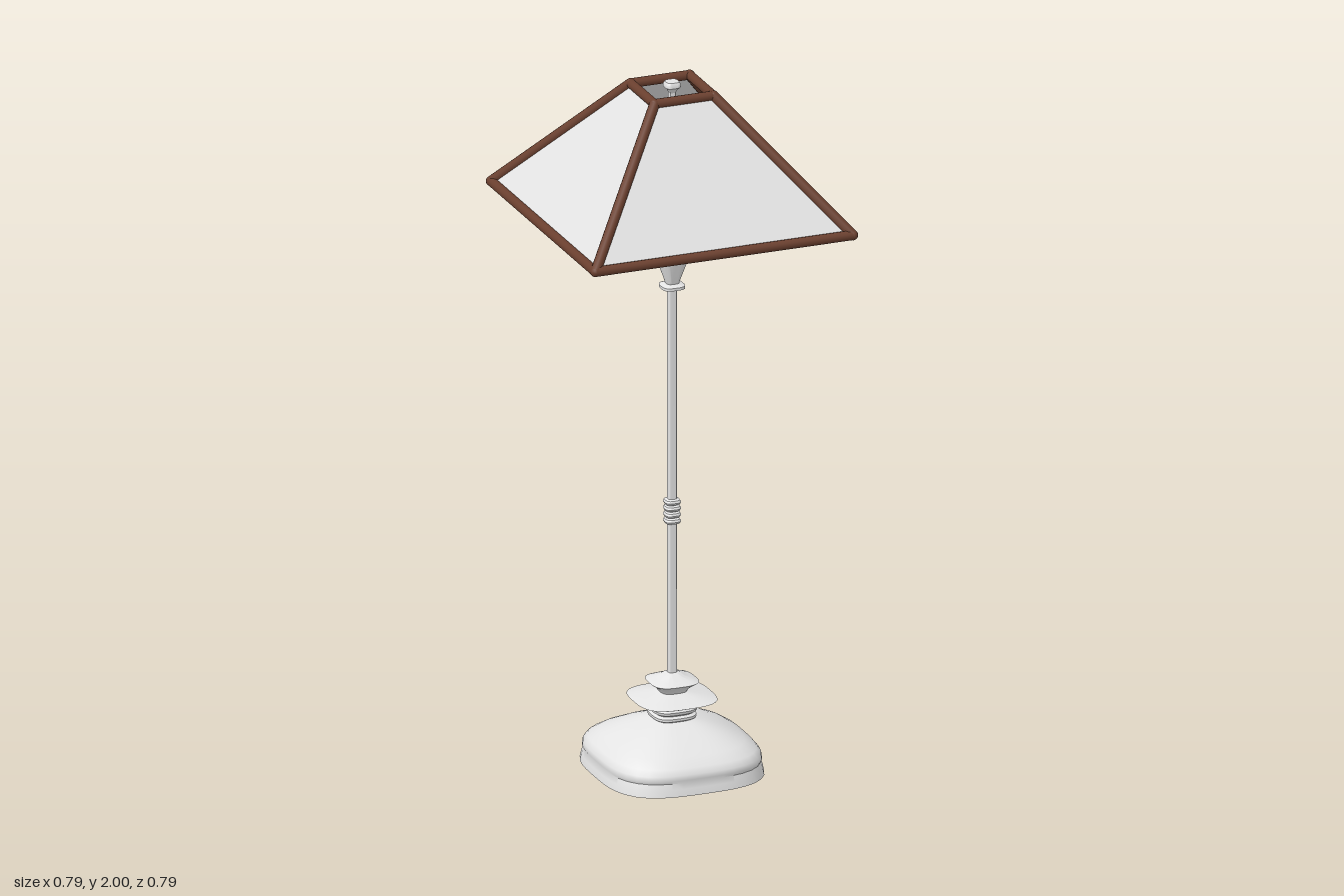
import * as THREE from 'three';
import { toCreasedNormals } from 'three/addons/utils/BufferGeometryUtils.js';

const white = new THREE.MeshStandardMaterial({ color: 0xe4e4e4, side: THREE.DoubleSide });
white.name = 'white';
const wood = new THREE.MeshStandardMaterial({ color: 0x6b402f });
wood.name = 'brown wood';

function add(parent, name, geometry, material) {
  const mesh = new THREE.Mesh(geometry, material);
  mesh.name = name;
  parent.add(mesh);
  return mesh;
}

// Turned profile whose round section is pushed out to a soft square
function softSquare(profile, power = 3.2, depth = 1) {
  const geo = new THREE.LatheGeometry(profile.map(([r, y]) => new THREE.Vector2(r, y)), 48);
  const pos = geo.attributes.position;
  for (let i = 0; i < pos.count; i++) {
    const x = pos.getX(i), z = pos.getZ(i), r = Math.hypot(x, z);
    if (r < 1e-6) continue;
    const k = Math.pow(Math.abs(x / r) ** power + Math.abs(z / r) ** power, -1 / power);
    pos.setX(i, x * k);
    pos.setZ(i, z * k * depth);
  }
  return toCreasedNormals(geo, 0.7);
}

// Round wooden bar between two points
function bar(parent, name, a, b, radius) {
  const geo = new THREE.CylinderGeometry(radius, radius, a.distanceTo(b), 12);
  const mesh = add(parent, name, geo, wood);
  mesh.position.copy(a).lerp(b, 0.5);
  mesh.quaternion.setFromUnitVectors(new THREE.Vector3(0, 1, 0), b.clone().sub(a).normalize());
}

export function createModel() {
  const lamp = new THREE.Group();
  lamp.name = 'floorLamp';

  // Hollow foot with a stepped rim and a sloping top
  add(lamp, 'foot', softSquare([
    [0.23, 0], [0.226, 0.02], [0.221, 0.036], [0.224, 0.044], [0.222, 0.058], [0.21, 0.073],
    [0.18, 0.093], [0.13, 0.118], [0.085, 0.136], [0.05, 0.146],
  ], 3.2, 1.04), white);

  // Stacked collar and plates above the foot
  add(lamp, 'collar', softSquare([
    [0.05, 0.143], [0.061, 0.15], [0.061, 0.157], [0.052, 0.162], [0.061, 0.168],
    [0.063, 0.176], [0.055, 0.185], [0.05, 0.188],
  ]), white);
  add(lamp, 'lowerPlate', softSquare([
    [0.045, 0.184], [0.09, 0.193], [0.114, 0.203], [0.085, 0.211], [0.05, 0.218], [0.036, 0.222],
  ]), white);
  add(lamp, 'upperPlate', softSquare([
    [0.036, 0.22], [0.043, 0.232], [0.068, 0.251], [0.05, 0.259], [0.03, 0.266],
    [0.02, 0.273], [0.012, 0.275],
  ]), white);

  // Pole, in two thicknesses
  add(lamp, 'pole', softSquare([[0.0125, 0.26], [0.0125, 1.41]]), white);
  add(lamp, 'upperPole', softSquare([[0.0095, 1.5], [0.0095, 1.985]]), white);

  // Rings halfway up the pole
  for (let i = 0; i < 4; i++) {
    const y = 0.717 + i * 0.0185;
    add(lamp, 'poleRing', softSquare([
      [0.012, y - 0.009], [0.02, y - 0.006], [0.023, y], [0.02, y + 0.006], [0.012, y + 0.009],
    ]), white);
  }

  // Flared cup under the shade
  add(lamp, 'cup', softSquare([
    [0.012, 1.392], [0.033, 1.398], [0.033, 1.406], [0.018, 1.412], [0.02, 1.42],
    [0.05, 1.51], [0.052, 1.522], [0.045, 1.526], [0.02, 1.53], [0.011, 1.55], [0.0095, 1.56],
  ]), white);

  // Finial at the top of the pole
  add(lamp, 'finial', softSquare([
    [0.0095, 1.968], [0.014, 1.978], [0.022, 1.985], [0.022, 1.994], [0.018, 2], [0, 2],
  ]), white);

  // Four-sided shade
  const shade = new THREE.Group();
  shade.name = 'shade';
  lamp.add(shade);
  const low = { h: 0.38, y: 1.629 }, high = { h: 0.087, y: 1.976 };
  const panels = new THREE.CylinderGeometry(
    high.h * Math.SQRT2, low.h * Math.SQRT2, high.y - low.y, 4, 1, true);
  panels.rotateY(Math.PI / 4);
  panels.translate(0, (high.y + low.y) / 2, 0);
  add(shade, 'shadePanels', toCreasedNormals(panels, 0.3), white);

  // Shallow smooth lining inside the shade
  const lining = new THREE.LatheGeometry([
    new THREE.Vector2(0.37 * Math.SQRT2, 1.635),
    new THREE.Vector2(0.2 * Math.SQRT2, 1.725),
    new THREE.Vector2(0, 1.83),
  ], 4);
  lining.rotateY(Math.PI / 4);
  add(shade, 'shadeLining', lining, white);

  // Wooden frame: lower edge, upper edge and sloping ribs
  const corner = (level, i) => {
    const a = Math.PI / 4 + i * Math.PI / 2, r = level.h * Math.SQRT2;
    return new THREE.Vector3(Math.cos(a) * r, level.y, Math.sin(a) * r);
  };
  for (let i = 0; i < 4; i++) {
    bar(shade, 'lowerFrame', corner(low, i), corner(low, i + 1), 0.014);
    bar(shade, 'upperFrame', corner(high, i), corner(high, i + 1), 0.0135);
    bar(shade, 'rib', corner(low, i), corner(high, i), 0.0145);
    for (const level of [low, high]) {
      add(shade, 'frameJoint', new THREE.SphereGeometry(0.0145, 12, 8), wood)
        .position.copy(corner(level, i));
    }
  }
  return lamp;
}
